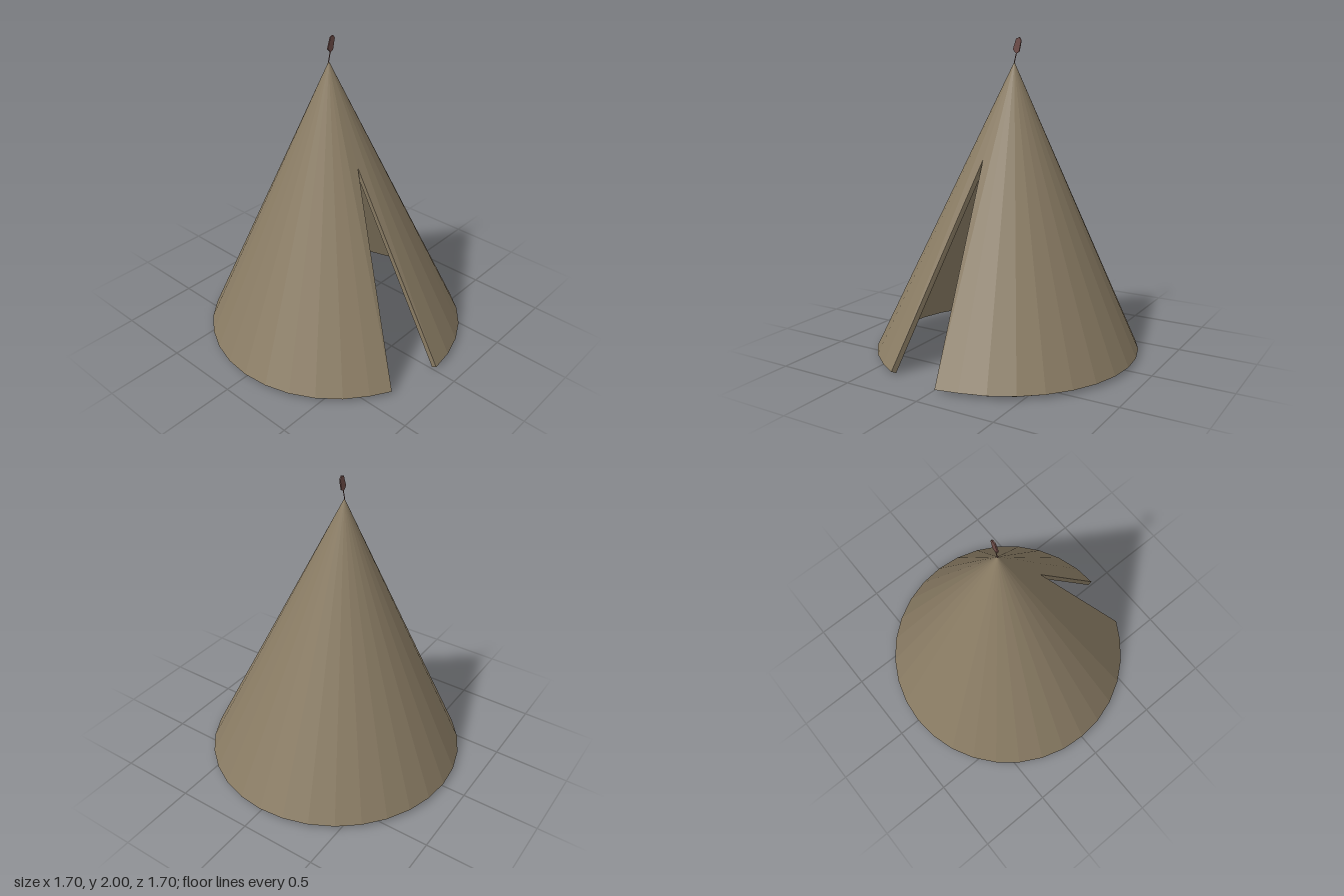
import * as THREE from 'three';

const SIDES = 32;
const RADIUS = 0.85;

// Faceted mesh from a list of triangles given as Vector3 corners
function facetedMesh(name, corners, color) {
  const geometry = new THREE.BufferGeometry().setFromPoints(corners);
  geometry.computeVertexNormals();
  const mesh = new THREE.Mesh(geometry, new THREE.MeshStandardMaterial({
    color, flatShading: true, side: THREE.DoubleSide,
  }));
  mesh.name = name;
  return mesh;
}

// Thick conical cover, its lower edge running up to the tip of the door slit
function createCover() {
  const apex = new THREE.Vector3(-0.065, 1.85, -0.01);
  const innerApex = new THREE.Vector3(-0.065, 1.775, -0.01);
  const doorTip = new THREE.Vector3(0.22, 1.26, 0.046);

  const outer = [doorTip];
  for (let i = 2; i <= SIDES; i++) {
    const a = (i / SIDES) * Math.PI * 2;
    outer.push(new THREE.Vector3(RADIUS * Math.cos(a), 0.025, RADIUS * Math.sin(a)));
  }
  // The two door corners are pulled slightly apart
  outer[1].set(0.78, 0.024, 0.35);
  outer[outer.length - 1].set(0.85, 0.018, -0.016);
  outer.push(doorTip);

  // Inner layer, set back along the slope
  const inner = outer.map((p) => {
    const a = Math.atan2(p.z, p.x);
    return new THREE.Vector3(p.x - 0.032 * Math.cos(a), p.y - 0.015, p.z - 0.032 * Math.sin(a));
  });

  const corners = [];
  for (let i = 0; i < outer.length - 1; i++) {
    const [p, pn, q, qn] = [outer[i], outer[i + 1], inner[i], inner[i + 1]];
    corners.push(apex, pn, p); // outside
    corners.push(innerApex, q, qn); // inside
    corners.push(p, pn, qn, p, qn, q); // hem and door edges
  }
  return facetedMesh('cover', corners, 0x8a7c64);
}

// Thin feather on a short stem above the apex
function createFeather() {
  const group = new THREE.Group();
  group.name = 'topFeather';
  const color = 0x6e4c48;

  const outline = [[0, 1.925], [-0.024, 1.9], [-0.045, 1.912], [-0.06, 1.98], [-0.047, 2], [-0.024, 1.993]];
  const shape = new THREE.Shape(outline.map(([z, y]) => new THREE.Vector2(-z, y)));
  const vane = new THREE.Mesh(
    new THREE.ExtrudeGeometry(shape, { depth: 0.008, bevelEnabled: false }),
    new THREE.MeshStandardMaterial({ color, flatShading: true }),
  );
  vane.name = 'vane';
  vane.rotation.y = Math.PI / 2;
  vane.position.x = -0.07;

  const stemPath = new THREE.LineCurve3(
    new THREE.Vector3(-0.066, 1.84, -0.008), new THREE.Vector3(-0.066, 1.91, -0.026));
  const stem = new THREE.Mesh(
    new THREE.TubeGeometry(stemPath, 1, 0.003, 5),
    new THREE.MeshStandardMaterial({ color, flatShading: true }),
  );
  stem.name = 'stem';

  group.add(vane, stem);
  return group;
}

export function createModel() {
  const model = new THREE.Group();
  model.name = 'conicalTent';
  model.add(createCover(), createFeather());
  return model;
}
